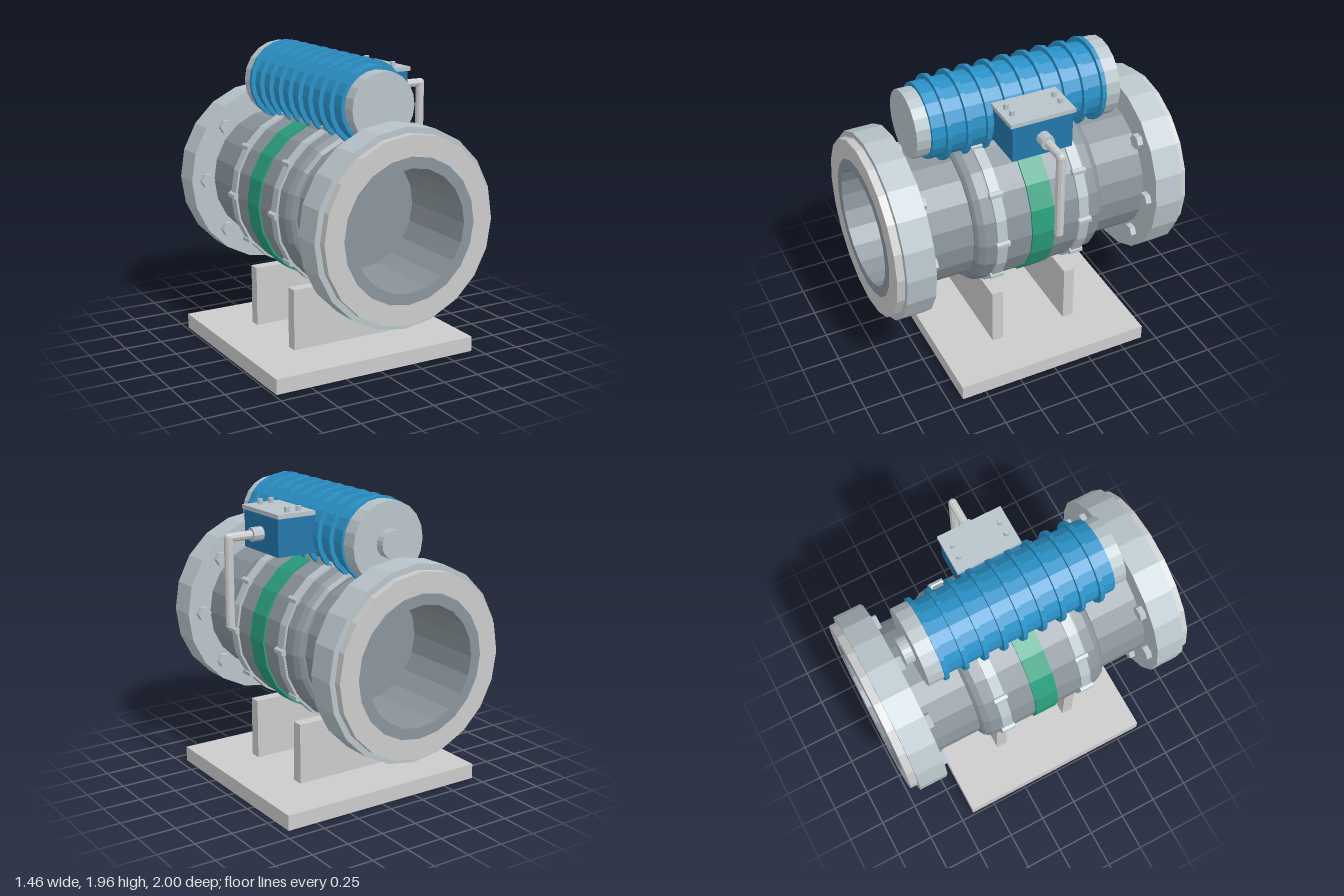
import * as THREE from 'three';

const CX = -0.0175; // x of the pipe axis
const PIPE_Y = 1.0;
const ACT_Y = 1.685; // height of the actuator axis

const mat = (color) => new THREE.MeshStandardMaterial({ color, flatShading: true });
const M = {
  grey: mat(0xcccccc),
  steel: mat(0xb8c4ca),
  cast: mat(0x8a949b),
  blue: mat(0x2a92c8),
  darkBlue: mat(0x2277aa),
  green: mat(0x2a9d7c),
};

export function createModel() {
  const model = new THREE.Group();
  model.name = 'actuatedValve';

  const add = (parent, name, geometry, material, x = 0, y = 0, z = 0) => {
    const mesh = new THREE.Mesh(geometry, material);
    mesh.name = name;
    mesh.position.set(x, y, z);
    parent.add(mesh);
    return mesh;
  };
  // box given by its limits on each axis
  const box = (name, material, x0, x1, y0, y1, z0, z1) =>
    add(model, name, new THREE.BoxGeometry(x1 - x0, y1 - y0, z1 - z0), material,
      (x0 + x1) / 2, (y0 + y1) / 2, (z0 + z1) / 2);
  // solid cylinder along z
  const cylZ = (r, z0, z1, sides = 20) =>
    new THREE.CylinderGeometry(r, r, z1 - z0, sides).rotateX(Math.PI / 2).translate(0, 0, (z0 + z1) / 2);
  // turned shape along z from [radius, z] pairs
  const turned = (profile) =>
    new THREE.LatheGeometry(profile.map(([r, z]) => new THREE.Vector2(r, z)), 20).rotateX(Math.PI / 2);

  // base plate and two support webs
  box('basePlate', M.grey, -0.735, 0.70, 0, 0.10, -0.66, 0.66);
  for (const s of [-1, 1]) {
    box('supportWeb', M.grey, -0.42, 0.385, 0.10, 0.50, s * 0.2625 - 0.0375, s * 0.2625 + 0.0375);
  }

  // valve body: closed barrel with rounded shoulders
  const valve = new THREE.Group();
  valve.name = 'valve';
  valve.position.set(CX, PIPE_Y, 0);
  model.add(valve);
  add(valve, 'body', turned([
    [0, -0.44], [0.465, -0.44], [0.49, -0.425], [0.512, -0.39], [0.52, -0.33],
    [0.52, 0.33], [0.512, 0.39], [0.49, 0.425], [0.465, 0.44], [0, 0.44],
  ]), M.cast);
  add(valve, 'centreBand', cylZ(0.533, -0.078, 0.078), M.green);

  // clamp rings with ten small bolts each
  for (const s of [-1, 1]) {
    const clamp = new THREE.Group();
    clamp.name = 'clampRing';
    clamp.position.z = s * 0.283;
    valve.add(clamp);
    add(clamp, 'ring', cylZ(0.535, -0.034, 0.034), M.steel);
    for (let i = 0; i < 10; i++) {
      const a = (i * Math.PI) / 5;
      add(clamp, 'clampBolt', cylZ(0.023, -0.045, 0.045, 6), M.steel, 0.53 * Math.cos(a), 0.53 * Math.sin(a), 0);
    }
  }

  // pipe ends, the back one turned around
  for (const turn of [0, Math.PI]) {
    const end = new THREE.Group();
    end.name = turn ? 'backPipeEnd' : 'frontPipeEnd';
    end.rotation.y = turn;
    valve.add(end);
    add(end, 'pipe', turned([[0.38, 0.43], [0.45, 0.43], [0.45, 1], [0.38, 1], [0.38, 0.43]]), M.cast);
    add(end, 'flange', turned([[0.45, 0.76], [0.617, 0.76], [0.617, 0.95], [0.45, 0.95]]), M.steel);
    add(end, 'raisedFace', turned([[0.58, 0.95], [0.58, 1], [0.45, 1]]), M.grey);
    for (let i = 0; i < 8; i++) {
      const a = (i * Math.PI) / 4;
      const bolt = add(end, 'flangeBolt', cylZ(0.05, 0.722, 0.77, 6), M.steel, 0.51 * Math.cos(a), 0.51 * Math.sin(a), 0);
      bolt.rotation.z = Math.PI / 2;
    }
  }

  // actuator cylinder with ribs and end caps
  const actuator = new THREE.Group();
  actuator.name = 'actuator';
  actuator.position.set(CX, ACT_Y, 0);
  model.add(actuator);
  add(actuator, 'tube', cylZ(0.24, -0.60, 0.60), M.blue);
  for (let i = 0; i < 9; i++) {
    const z = 0.5 - i * 0.1305;
    add(actuator, 'rib', cylZ(0.27, z - 0.014, z + 0.014), M.blue);
  }
  add(actuator, 'frontCap', cylZ(0.217, 0.59, 0.69), M.steel);
  add(actuator, 'backCap', cylZ(0.255, -0.66, -0.555), M.steel);
  add(actuator, 'backKnob', cylZ(0.088, -0.72, -0.65), M.steel);
  box('actuatorMount', M.steel, -0.20, 0.165, 1.45, 1.54, -0.235, 0.235);

  // gearbox with bolted lid
  box('gearbox', M.darkBlue, 0.16, 0.47, 1.565, 1.807, -0.20, 0.20);
  box('gearboxLid', M.steel, 0.21, 0.48, 1.805, 1.832, -0.215, 0.215);
  for (const x of [0.30, 0.38]) {
    for (const z of [-0.16, 0.16]) {
      add(model, 'lidBolt', new THREE.CylinderGeometry(0.018, 0.018, 0.035, 8), M.steel, x, 1.847, z);
    }
  }

  // hand lever: collar, arm and hanging grip with a mitred elbow
  const rodX = (r, x0, x1) =>
    new THREE.CylinderGeometry(r, r, x1 - x0, 10).rotateZ(Math.PI / 2).translate((x0 + x1) / 2, 0, 0);
  add(model, 'leverCollar', rodX(0.045, 0.46, 0.543), M.steel, 0, 1.683, 0);
  add(model, 'leverArm', rodX(0.028, 0.53, 0.70), M.grey, 0, 1.683, 0);
  add(model, 'leverElbow', new THREE.SphereGeometry(0.029, 10, 6), M.grey, 0.70, 1.683, 0);
  add(model, 'leverGrip', new THREE.CylinderGeometry(0.029, 0.029, 0.563, 10), M.grey, 0.70, 1.4015, 0);

  return model;
}
